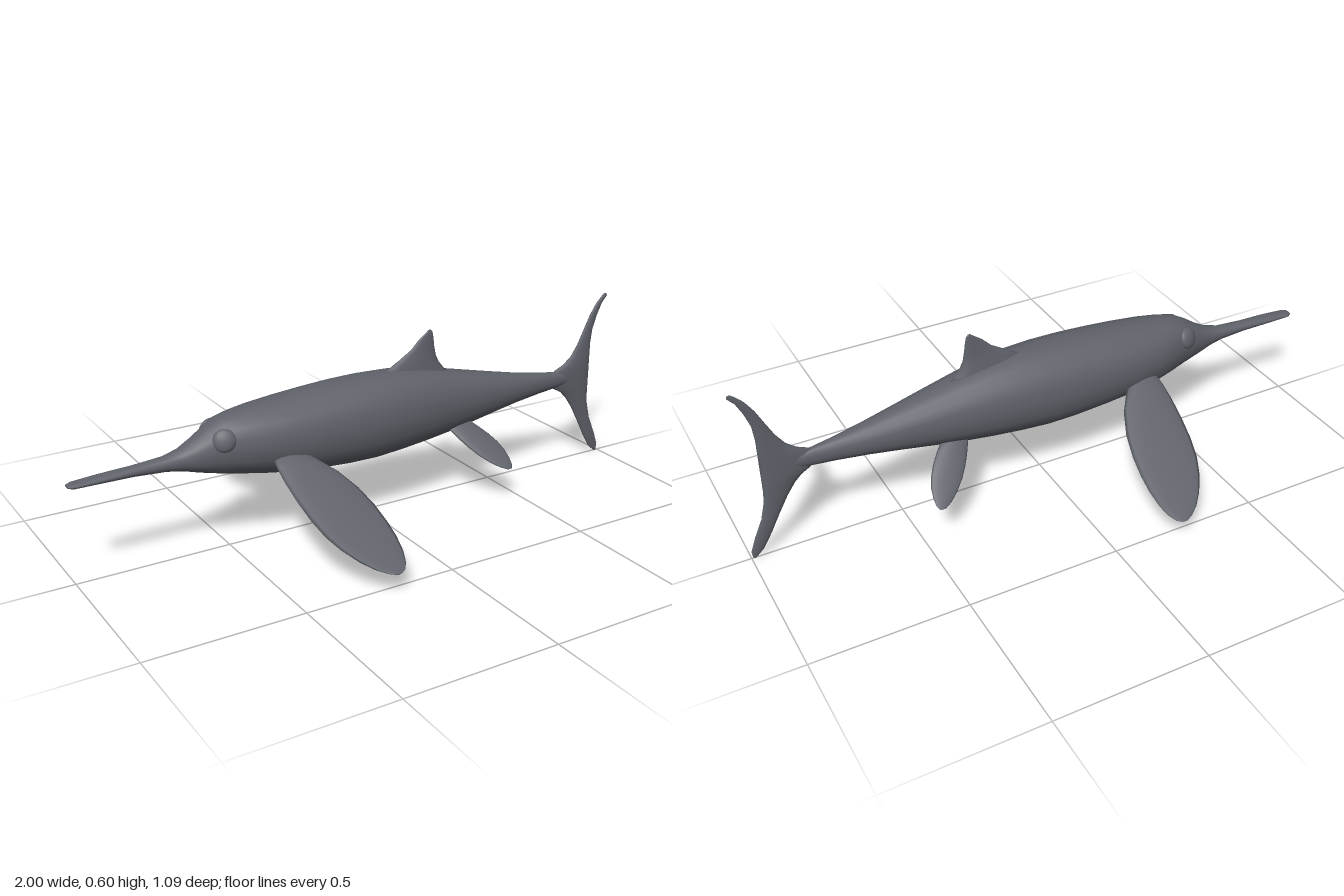
import * as THREE from 'three';

// Skin closed rings of points into a smooth capped solid, always facing outward
function loft(rings) {
  const n = rings[0].length, pos = [], idx = [];
  rings.forEach(r => r.forEach(p => pos.push(p.x, p.y, p.z)));
  for (let i = 0; i < rings.length - 1; i++)
    for (let j = 0; j < n; j++) {
      const a = i * n + j, b = i * n + (j + 1) % n;
      idx.push(a, b, a + n, b, b + n, a + n);
    }
  [0, rings.length - 1].forEach((r, end) => {
    const c = new THREE.Vector3();
    rings[r].forEach(p => c.addScaledVector(p, 1 / n));
    const ci = pos.push(c.x, c.y, c.z) / 3 - 1;
    for (let j = 0; j < n; j++) {
      const a = r * n + j, b = r * n + (j + 1) % n;
      if (end) idx.push(a, b, ci); else idx.push(b, a, ci);
    }
  });
  // Reverse the winding when the enclosed volume is negative
  const v = i => new THREE.Vector3().fromArray(pos, i * 3);
  let volume = 0;
  for (let i = 0; i < idx.length; i += 3)
    volume += v(idx[i]).dot(v(idx[i + 1]).cross(v(idx[i + 2])));
  if (volume < 0) idx.reverse();
  const g = new THREE.BufferGeometry();
  g.setAttribute('position', new THREE.Float32BufferAttribute(pos, 3));
  g.setIndex(idx);
  g.computeVertexNormals();
  return g;
}

const ring = (n, f) => Array.from({ length: n }, (_, j) => {
  const a = j / n * Math.PI * 2;
  return f(Math.cos(a), Math.sin(a));
});

// Rows of [position, lead x, trail x, half thickness]; place() maps position and thickness to y, z
function fin(rows, place) {
  return loft(rows.map(([s, x0, x1, t]) => ring(14, (c, k) => {
    const [y, z] = place(s, k * t);
    return new THREE.Vector3((x0 + x1) / 2 + c * (x1 - x0) / 2, y, z);
  })));
}

export function createModel() {
  const model = new THREE.Group();
  const skin = new THREE.MeshStandardMaterial({ color: 0x60636b });
  skin.name = 'slate skin';
  const add = (name, geometry) => {
    const m = new THREE.Mesh(geometry, skin);
    m.name = name;
    model.add(m);
    return m;
  };

  // Body from beak tip to tail root: x, bottom, top, half width
  const body = [
    [-1, .316, .324, .014], [-.985, .312, .328, .022], [-.9, .311, .334, .025], [-.8, .308, .339, .023],
    [-.7, .301, .347, .027], [-.65, .292, .361, .036], [-.6, .277, .388, .05], [-.56, .266, .415, .061],
    [-.52, .257, .437, .074], [-.47, .247, .447, .09], [-.4, .235, .455, .109], [-.3, .219, .464, .122],
    [-.2, .209, .472, .126], [-.1, .202, .478, .128], [0, .2, .48, .127], [.1, .206, .477, .12],
    [.2, .215, .464, .109], [.3, .226, .443, .094], [.4, .241, .42, .079], [.5, .257, .397, .063],
    [.6, .271, .375, .046], [.7, .281, .357, .029], [.77, .286, .347, .019], [.85, .295, .338, .012],
    [.92, .308, .325, .006]
  ];
  const soft = v => Math.sign(v) * Math.abs(v) ** 0.9;
  add('body', loft(body.map(([x, lo, hi, w]) => ring(18, (c, s) =>
    new THREE.Vector3(x, (lo + hi) / 2 + soft(s) * (hi - lo) / 2, soft(c) * w)))));

  // Upright fins
  const upright = (y, t) => [y, t];
  add('dorsalFin', fin([
    [.42, .06, .335, .026], [.45, .06, .3, .023], [.475, .075, .28, .019], [.5, .12, .268, .013],
    [.53, .17, .262, .009], [.56, .2, .258, .006], [.58, .228, .254, .004], [.588, .238, .248, .002]
  ], upright));
  add('tailFluke', fin([
    [.005, .984, .995, .003], [.03, .957, .998, .005], [.08, .927, .98, .006], [.14, .896, .953, .007],
    [.2, .863, .938, .008], [.24, .835, .935, .01], [.265, .81, .935, .012], [.285, .775, .935, .013],
    [.317, .74, .935, .014], [.348, .775, .935, .013], [.365, .815, .935, .012], [.39, .847, .935, .01],
    [.43, .875, .935, .008], [.48, .9, .94, .007], [.53, .924, .957, .006], [.57, .95, .976, .005],
    [.595, .974, .998, .004], [.603, .985, .995, .002]
  ], upright));

  // Paired paddles and eyes; rows run outward along z
  const frontRows = [
    [.09, -.385, -.285, .017], [.13, -.391, -.25, .016], [.18, -.393, -.212, .014], [.25, -.39, -.18, .012],
    [.32, -.382, -.163, .01], [.38, -.368, -.157, .008], [.43, -.346, -.157, .007], [.48, -.313, -.164, .005],
    [.515, -.28, -.177, .004], [.536, -.25, -.192, .003], [.545, -.23, -.21, .002]
  ];
  const rearRows = [
    [.045, .275, .37, .014], [.07, .292, .4, .013], [.095, .308, .425, .012], [.12, .327, .444, .01],
    [.145, .35, .456, .008], [.17, .38, .46, .006], [.188, .408, .458, .004], [.198, .432, .45, .002]
  ];
  for (const [side, label] of [[1, 'left'], [-1, 'right']]) {
    const slope = (z0, y0, drop) => (z, t) => {
      const l = Math.hypot(1, drop);
      return [y0 - drop * (z - z0) + t / l, side * (z + t * drop / l)];
    };
    add(label + 'FrontFlipper', fin(frontRows, slope(.13, .285, .515)));
    add(label + 'RearFlipper', fin(rearRows, slope(.07, .243, .93)));
    const eye = add(label + 'Eye', new THREE.SphereGeometry(.036, 18, 12));
    eye.scale.z = .45;
    eye.position.set(-.53, .383, side * .06);
    eye.rotation.set(-side * .35, -side * .35, 0);
  }
  return model;
}
